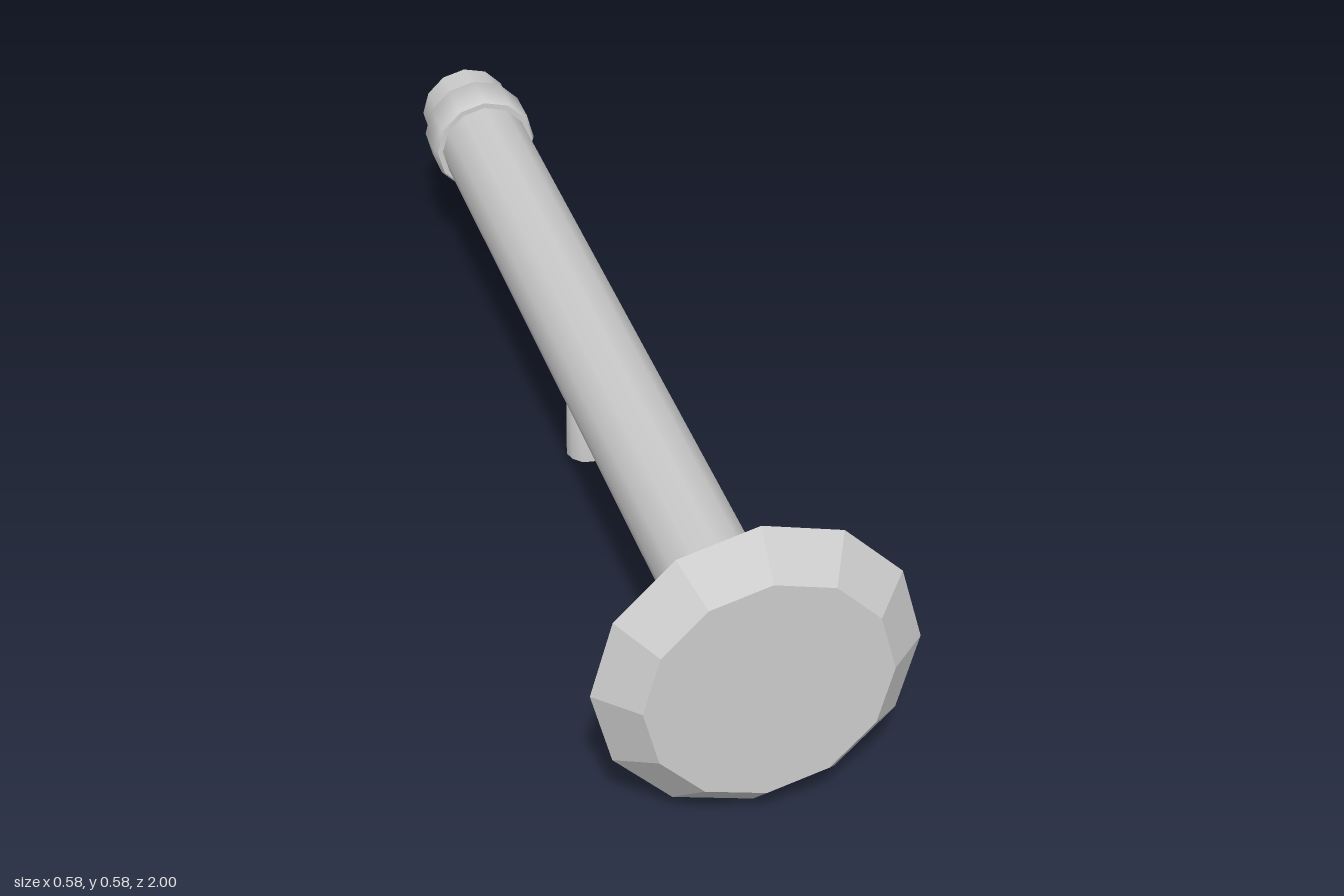
import * as THREE from 'three';
import { toCreasedNormals } from 'three/addons/utils/BufferGeometryUtils.js';

const SIDES = 12;
const AXIS_Y = 0.29;
const smooth = new THREE.MeshStandardMaterial({ color: 0xcccccc });
const faceted = new THREE.MeshStandardMaterial({ color: 0xcccccc, flatShading: true });

// Twelve-sided tapered section along z, from z0 (radius r0) forward to z1 (radius r1)
function section(name, z0, r0, z1, r1, open, material) {
  const geometry = new THREE.CylinderGeometry(r1, r0, z1 - z0, SIDES, 1, open);
  geometry.rotateX(Math.PI / 2);
  const mesh = new THREE.Mesh(geometry, material);
  mesh.name = name;
  mesh.position.set(0, AXIS_Y, (z0 + z1) / 2);
  return mesh;
}

// Turned part around a given axis, with sharp edges kept sharp
function turned(name, profile) {
  const points = profile.map(([r, h]) => new THREE.Vector2(r, h));
  const geometry = toCreasedNormals(new THREE.LatheGeometry(points, SIDES), Math.PI / 4);
  const mesh = new THREE.Mesh(geometry, smooth);
  mesh.name = name;
  return mesh;
}

export function createModel() {
  const model = new THREE.Group();
  model.name = 'flaredTube';

  // Long shaft with its closed rear end
  model.add(section('shaft', -1, 0.089, 0.78, 0.089, false, smooth));

  // Flared head: smooth cone behind, faceted bevel and flat face in front
  const head = new THREE.Group();
  head.name = 'head';
  head.add(section('headCone', 0.78, 0.089, 0.93, 0.29, true, smooth));
  head.add(section('headBevel', 0.93, 0.29, 1, 0.22, false, faceted));
  model.add(head);

  // Collar near the rear end, with softened edges
  const collar = turned('collar', [
    [0.08, -0.925], [0.1, -0.925], [0.105, -0.917],
    [0.105, -0.843], [0.1, -0.835], [0.08, -0.835],
  ]);
  collar.rotation.x = Math.PI / 2;
  collar.position.y = AXIS_Y;
  model.add(collar);

  // Short peg hanging below the shaft
  const peg = turned('peg', [[0, 0.035], [0.04, 0.035], [0.04, 0.21], [0.035, 0.217], [0, 0.217]]);
  peg.position.z = -0.09;
  model.add(peg);

  return model;
}
